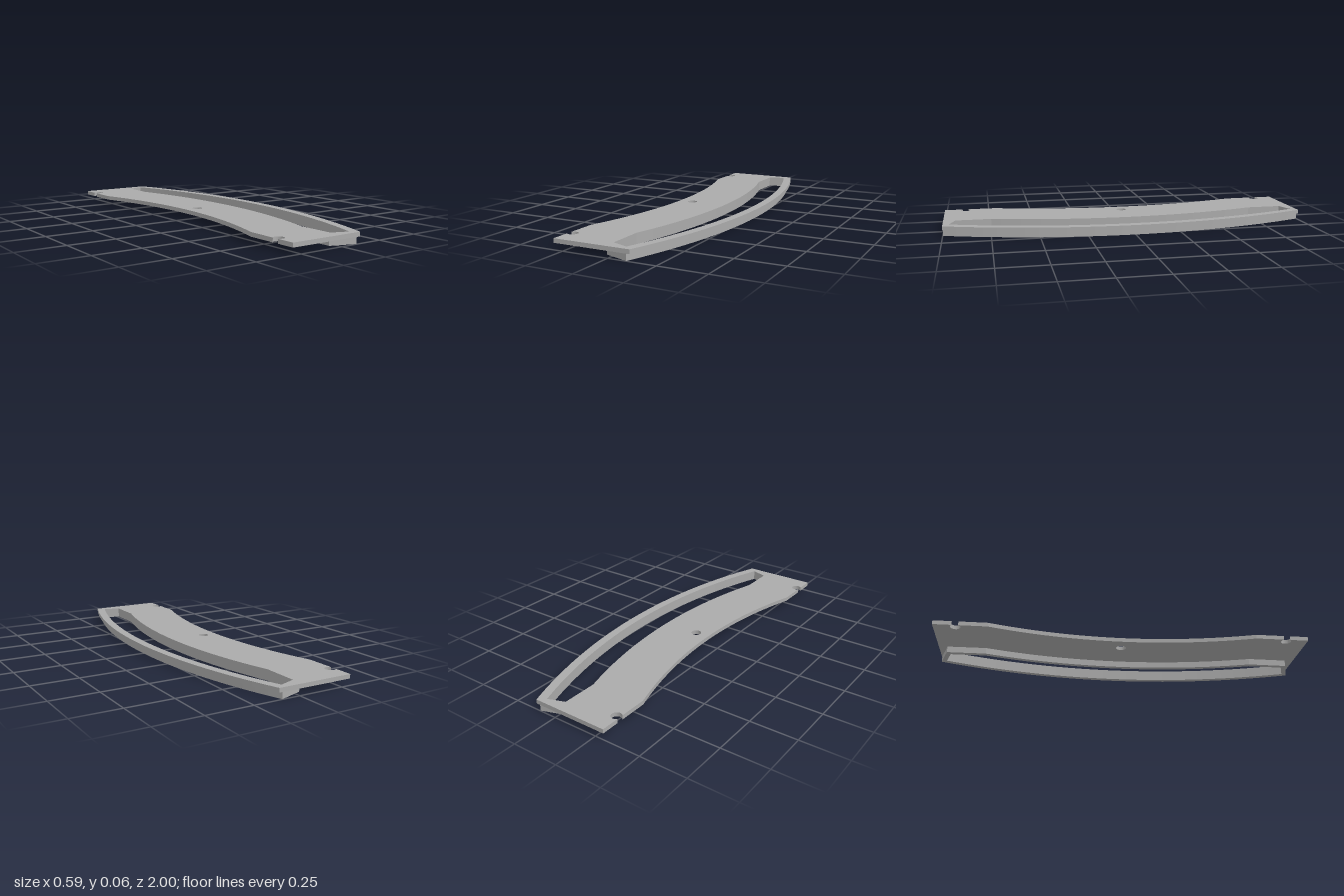
import * as THREE from 'three';

const CX = -2.57;      // shared centre of all the arcs
const EDGE = -0.298;   // straight inner edge of the plate

// Points on a circle of radius r around (cx, cy), from angle a to b
function arc(cx, cy, r, a, b, n) {
  return Array.from({ length: n + 1 }, (_, i) => {
    const t = a + ((b - a) * i) / n;
    return new THREE.Vector2(cx + r * Math.cos(t), cy + r * Math.sin(t));
  });
}

// Long arc about the shared centre, between two lengthwise positions
const sweep = (r, y0, y1) => arc(CX, 0, r, Math.asin(y0 / r), Math.asin(y1 / r), 28);

// Open screw notch in the straight edge
function notch(y) {
  const r = 0.027, x = -0.277, a = Math.acos((EDGE - x) / r);
  return arc(x, y, r, a, -a, 20);
}

// Closed outline bounded by two arcs, a straight side and slanted ends
function slotOutline(rOut, yOut, rIn, yIn, xSide, ySide) {
  return [
    ...sweep(rOut, -yOut, yOut),
    new THREE.Vector2(xSide, ySide),
    ...sweep(rIn, yIn, -yIn),
    new THREE.Vector2(xSide, -ySide),
  ];
}

// Horizontal slab from an outline and holes
function slab(name, outline, holes, y, height, material) {
  const shape = new THREE.Shape(outline);
  shape.holes = holes.map((h) => new THREE.Path(h));
  const geo = new THREE.ExtrudeGeometry(shape, { depth: height, bevelEnabled: false });
  geo.rotateX(-Math.PI / 2);
  geo.translate(0, y, 0);
  const mesh = new THREE.Mesh(geo, material);
  mesh.name = name;
  return mesh;
}

export function createModel() {
  const group = new THREE.Group();
  group.name = 'curvedBezel';
  const grey = new THREE.MeshStandardMaterial({ color: 0xaaaaaa });
  grey.name = 'grey';

  const slot = slotOutline(2.82, 0.967, 2.665, 0.745, -0.01, 0.935);

  // Top plate with curved sides, edge notches, slot and centre hole
  const plate = [
    new THREE.Vector2(EDGE, -1),
    ...sweep(2.866, -1, 1),
    new THREE.Vector2(EDGE, 1),
    ...notch(0.884),
    ...sweep(2.382, 0.715, -0.715),
    ...notch(-0.884),
  ];
  const centreHole = arc(-0.11, 0, 0.027, 0, Math.PI * 2, 24).slice(0, -1);
  group.add(slab('topPlate', plate, [slot, centreHole], 0.034, 0.022, grey));

  // Raised lip around the slot on the underside
  const lip = slotOutline(2.847, 0.998, 2.64, 0.742, -0.035, 0.953);
  group.add(slab('slotLip', lip, [slot], 0, 0.034, grey));

  return group;
}
